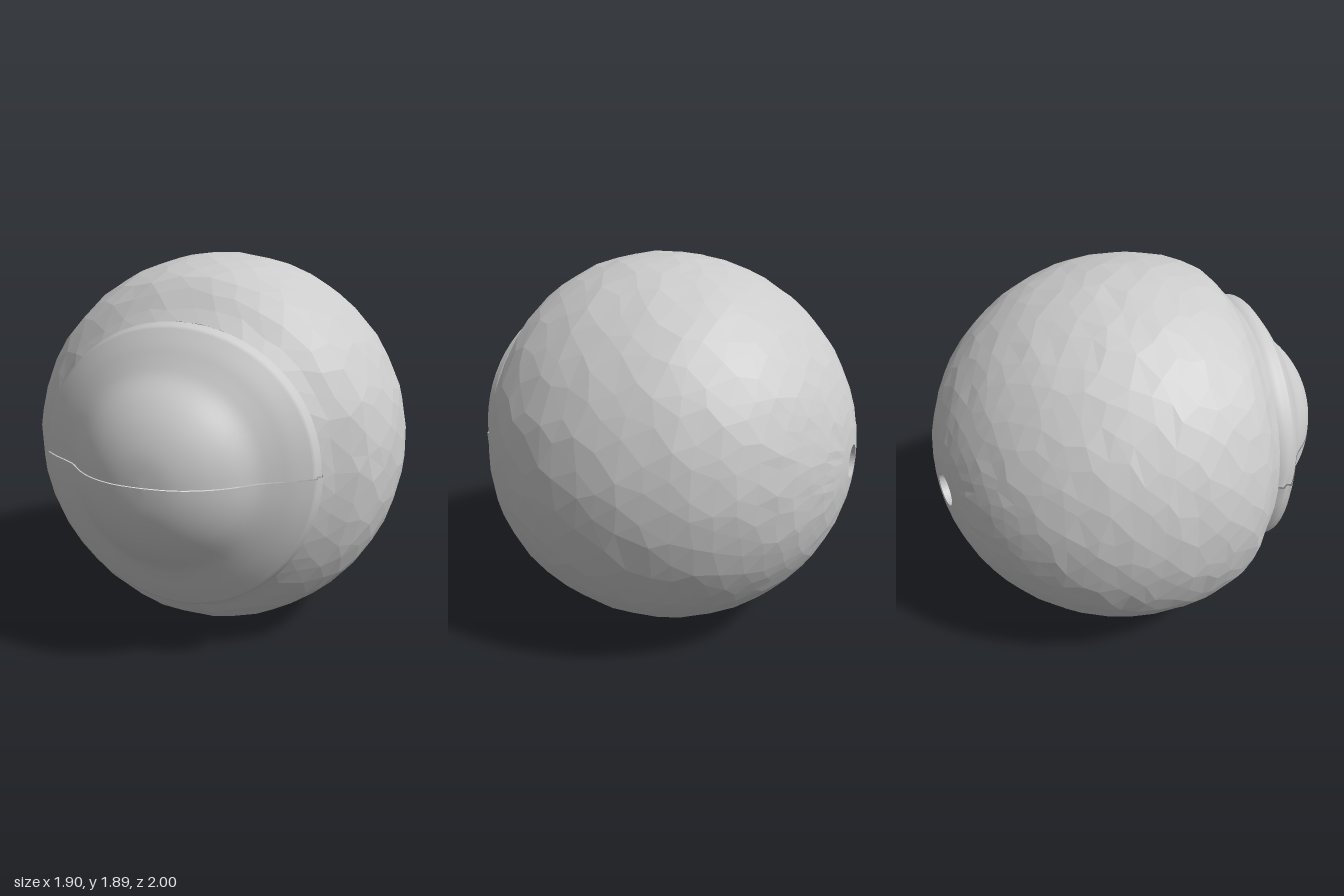
import * as THREE from 'three';

const CENTER_Y = 0.95;
const FRONT = new THREE.Vector3(0.05, 0, 1).normalize();
const BACK_HOLE = new THREE.Vector3(-0.305, 0.02, -0.94).normalize();

function seeded(seed) {
  return () => {
    seed = (seed * 16807) % 2147483647;
    return seed / 2147483647 - 0.5;
  };
}

// Faceted globe: rings run from the front opening to the recess in the back,
// their axis leaning gradually from one to the other
function globeGeometry() {
  const rand = seeded(77);
  const SEG = 40, ROWS = 25;
  const start = 0.855, end = Math.PI - 0.085;
  const rings = [];
  for (let i = 0; i <= ROWS; i++) rings.push({ t: start + (end - start) * i / ROWS, s: 1 });
  // recess wall, floor and small inner pit
  rings.push({ t: end, s: 0.92 }, { t: Math.PI - 0.05, s: 0.91 },
    { t: Math.PI - 0.045, s: 0.86 }, { t: Math.PI - 0.002, s: 0.86 });

  const backAxis = BACK_HOLE.clone().negate();
  const positions = [], index = [];
  rings.forEach(({ t, s }, i) => {
    const blend = THREE.MathUtils.smoothstep(t, start, end);
    const axis = FRONT.clone().lerp(backAxis, blend).normalize();
    const right = new THREE.Vector3(0, 1, 0).cross(axis).normalize();
    const up = axis.clone().cross(right);
    const loose = i > 0 && i < ROWS - 1 ? 1 : 0;
    for (let j = 0; j < SEG; j++) {
      const shrinkJitter = Math.sin(t);
      const a = (j + (i % 2) * 0.5 + rand() * 0.5 * loose) / SEG * Math.PI * 2;
      const tt = t + rand() * 0.05 * loose * shrinkJitter;
      const p = axis.clone().multiplyScalar(Math.cos(tt))
        .addScaledVector(right, Math.sin(tt) * Math.cos(a))
        .addScaledVector(up, Math.sin(tt) * Math.sin(a));
      // tighten towards the front rim, lengthen towards the back
      const size = 0.95 - 0.064 * (1 - THREE.MathUtils.smoothstep(tt, start, 1.15));
      p.multiplyScalar(size * s * (1 + rand() * 0.006 * loose));
      if (p.z < 0) p.z *= 1.05;
      positions.push(p.x, p.y, p.z);
    }
  });
  for (let i = 0; i < rings.length - 1; i++) {
    for (let j = 0; j < SEG; j++) {
      const k = (j + 1) % SEG;
      const a = i * SEG + j, b = i * SEG + k;
      const c = a + SEG, d = b + SEG;
      if (i % 2) index.push(a, c, d, a, d, b).valueOf();
      else index.push(a, c, b, b, c, d);
    }
  }
  // odd rings are turned half a step, so their diagonal leads to the next column
  const geo = new THREE.BufferGeometry();
  geo.setAttribute('position', new THREE.Float32BufferAttribute(positions, 3));
  geo.setIndex(index);
  geo.computeVertexNormals();
  return geo;
}

// Half of the bulging front cover, with a grooved rim
function coverHalf(name, upper, material) {
  const rim = [[0.655, -0.045], [0.672, 0], [0.652, 0.025], [0.66, 0.045]]
    .map(p => new THREE.Vector2(...p));
  const dome = new THREE.SplineCurve([
    [0.66, 0.045], [0.58, 0.1], [0.51, 0.14], [0.44, 0.185], [0.35, 0.27],
    [0.25, 0.335], [0.13, 0.377], [0, 0.388],
  ].map(p => new THREE.Vector2(...p))).getPoints(28);
  dome[dome.length - 1].x = 0;
  const geo = new THREE.LatheGeometry([...rim, ...dome.slice(1)], 32,
    upper ? Math.PI / 2 : -Math.PI / 2, Math.PI);
  geo.rotateX(Math.PI / 2);
  // raise the dividing seam above the middle while keeping the rim in place
  const pos = geo.attributes.position;
  const grow = upper ? 1 : 1.012;
  for (let i = 0; i < pos.count; i++) {
    const x = pos.getX(i), y = pos.getY(i);
    const lift = (0.032 + 0.012 * x) * (1 - (y / 0.675) ** 2);
    pos.setXY(i, x * grow, y + lift + (upper ? 0.002 : -0.002));
  }
  geo.computeVertexNormals();
  const mesh = new THREE.Mesh(geo, material);
  mesh.name = name;
  return mesh;
}

export function createModel() {
  const model = new THREE.Group();
  model.name = 'eyeball';
  const faceted = new THREE.MeshStandardMaterial({
    color: 0xcccccc, flatShading: true, side: THREE.DoubleSide,
  });
  const smooth = new THREE.MeshStandardMaterial({ color: 0xcccccc, side: THREE.DoubleSide });

  const globe = new THREE.Mesh(globeGeometry(), faceted);
  globe.name = 'globe';
  globe.position.y = CENTER_Y;
  model.add(globe);

  const cover = new THREE.Group();
  cover.name = 'frontCover';
  cover.add(coverHalf('upperCover', true, smooth), coverHalf('lowerCover', false, smooth));
  cover.position.set(0.035, 0.947, 0.612);
  cover.rotation.y = 0.045;
  model.add(cover);
  return model;
}
